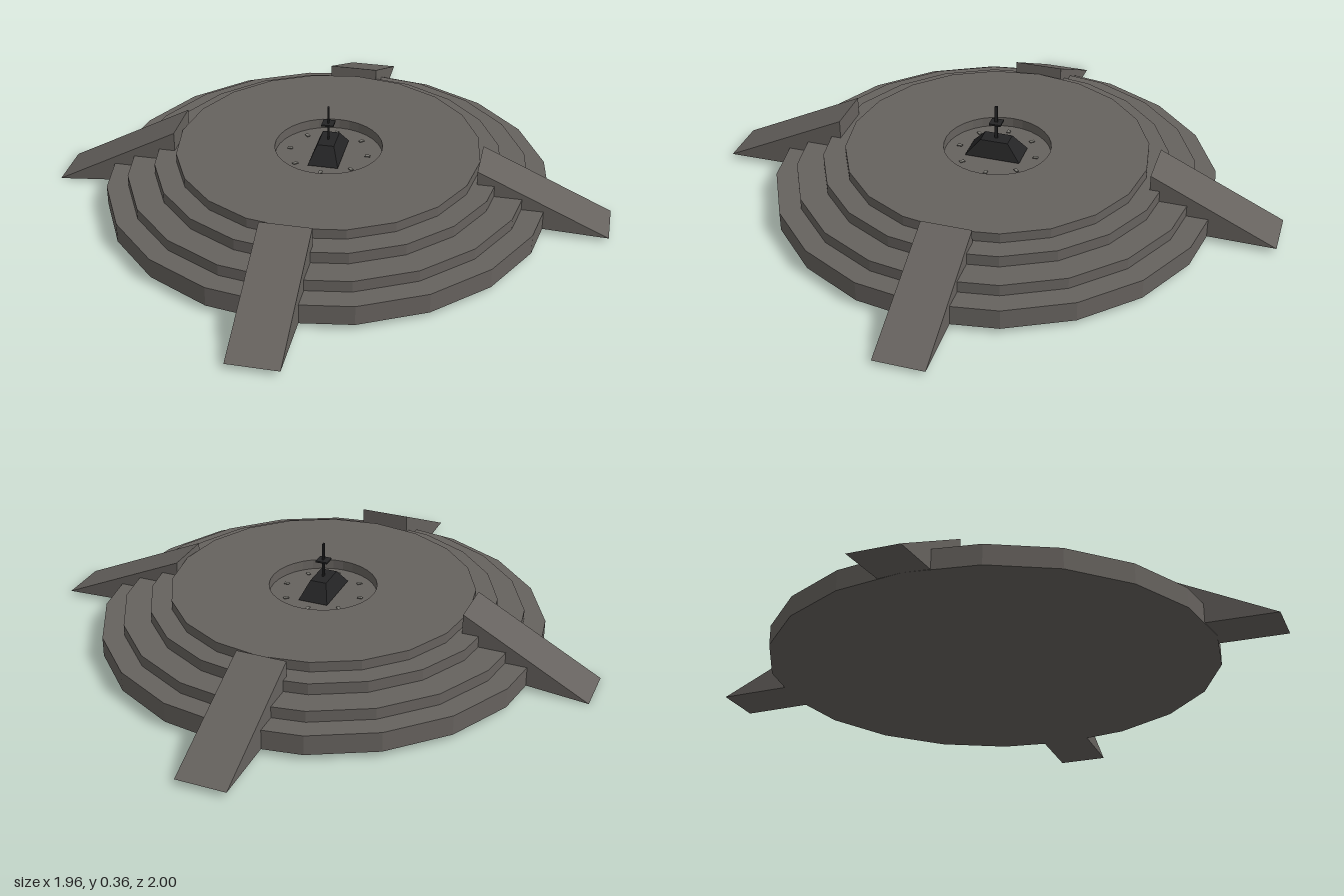
import * as THREE from 'three';

const flat = (name, color) => {
  const m = new THREE.MeshStandardMaterial({ color, flatShading: true });
  m.name = name;
  return m;
};

export function createModel() {
  const root = new THREE.Group();
  root.name = 'steppedPlatform';
  const stone = flat('stone', 0x66625e);
  const darkMetal = flat('darkMetal', 0x303132);
  const black = flat('black', 0x242425);
  const grey = flat('grey', 0x7a7872);

  const add = (parent, name, geometry, material, x = 0, y = 0, z = 0) => {
    const mesh = new THREE.Mesh(geometry, material);
    mesh.name = name;
    mesh.position.set(x, y, z);
    parent.add(mesh);
    return mesh;
  };

  // Stacked twenty-sided steps: radius, bottom, top
  const CX = -0.006;
  [[0.775, 0.02, 0.09], [0.7, 0.09, 0.13], [0.605, 0.13, 0.17]].forEach(([r, y0, y1], i) =>
    add(root, 'step' + (i + 1), new THREE.CylinderGeometry(r, r, y1 - y0, 20), stone, CX, (y0 + y1) / 2, 0));

  // Top step, open in the middle for the dial
  const ring = new THREE.Shape();
  for (let i = 0; i < 20; i++) {
    const a = (i / 20) * Math.PI * 2;
    ring[i ? 'lineTo' : 'moveTo'](0.53 * Math.cos(a), 0.53 * Math.sin(a));
  }
  ring.closePath();
  const hole = new THREE.Path();
  hole.absarc(0, 0, 0.188, 0, Math.PI * 2, true);
  ring.holes.push(hole);
  const topGeo = new THREE.ExtrudeGeometry(ring, { depth: 0.035, bevelEnabled: false, curveSegments: 16 });
  topGeo.rotateX(-Math.PI / 2);
  add(root, 'topStep', topGeo, stone, CX, 0.17, -0.004);

  // Sunken dial with sloping rim
  const dial = new THREE.Group();
  dial.name = 'dial';
  dial.position.set(CX, 0, -0.004);
  root.add(dial);
  const bowl = [[0, 0.178], [0.165, 0.178], [0.188, 0.204]].map(p => new THREE.Vector2(...p));
  add(dial, 'dialBowl', new THREE.LatheGeometry(bowl, 32), darkMetal);

  // Dial marks around the bowl
  for (let i = 0; i < 8; i++) {
    const a = (i / 8) * Math.PI * 2;
    const mark = add(dial, 'dialMark', new THREE.BoxGeometry(0.012, 0.003, 0.018), grey,
      0.138 * Math.sin(a), 0.1795, 0.138 * Math.cos(a));
    mark.rotation.y = a;
  }

  // Tapered rectangular pedestal
  const pedestal = new THREE.BoxGeometry(0.106, 0.057, 0.196);
  const p = pedestal.attributes.position;
  for (let i = 0; i < p.count; i++) {
    if (p.getY(i) > 0) p.setXYZ(i, p.getX(i) * 0.55, p.getY(i), p.getZ(i) * 0.5);
  }
  add(dial, 'pedestal', pedestal, black, 0, 0.2065, 0.004);

  // Thin pointer with a small cross plate
  add(dial, 'pointer', new THREE.BoxGeometry(0.006, 0.128, 0.011), black, 0, 0.296, 0.004);
  add(dial, 'pointerGuard', new THREE.BoxGeometry(0.042, 0.006, 0.042), black, 0, 0.296, 0.004);

  // Sloping buttresses: outer reach, inner end, top, tip height, sideways offset, turn
  const buttress = (name, outer, inner, top, tip, side, turn) => {
    const s = new THREE.Shape();
    s.moveTo(inner, 0.022);
    s.lineTo(0.76, 0.022);
    s.lineTo(outer, tip);
    s.lineTo(inner, top);
    s.closePath();
    const g = new THREE.ExtrudeGeometry(s, { depth: 0.174, bevelEnabled: false });
    g.translate(0, 0, -0.087 + side);
    g.rotateY(turn);
    add(root, name, g, stone);
  };
  buttress('leftButtress', 0.98, 0.525, 0.22, 0.014, 0.003, 0);
  buttress('rightButtress', 0.98, 0.54, 0.24, 0.001, 0.002, Math.PI);
  buttress('backButtress', 1, 0.56, 0.225, 0.02, -0.026, Math.PI / 2);
  buttress('frontButtress', 1, 0.56, 0.238, 0.02, 0.026, -Math.PI / 2);

  return root;
}
